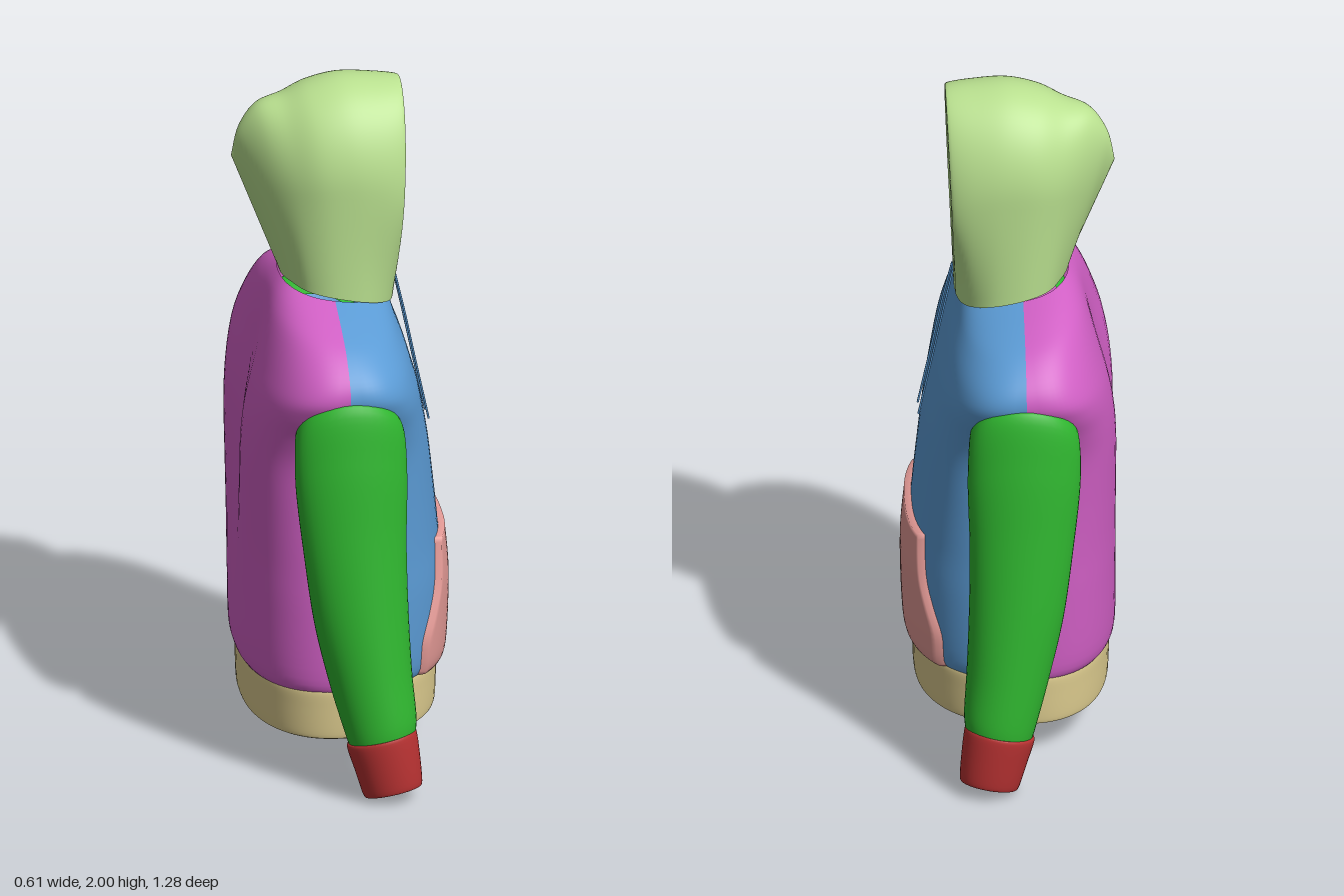
import * as THREE from 'three';
import { mergeVertices } from 'three/addons/utils/BufferGeometryUtils.js';

const COLORS = {
  hood: 0xb9e08f, front: 0x5b9bd5, back: 0xd05fc4, sleeve: 0x2fb52f,
  cuff: 0xb83232, hem: 0xdccb8e, pocket: 0xe49a96,
};

function part(name, geometry, color) {
  const mesh = new THREE.Mesh(geometry, new THREE.MeshStandardMaterial({ color, side: THREE.DoubleSide }));
  mesh.name = name;
  return mesh;
}

// Smooth surface from a rule point(u, v) with u, v in 0..1
function surface(rows, cols, point) {
  const pos = [], index = [];
  for (let i = 0; i <= rows; i++) {
    for (let j = 0; j <= cols; j++) pos.push(...point(i / rows, j / cols));
  }
  for (let i = 0; i < rows; i++) {
    for (let j = 0; j < cols; j++) {
      const a = i * (cols + 1) + j, b = a + cols + 1;
      index.push(a, a + 1, b, a + 1, b + 1, b);
    }
  }
  let g = new THREE.BufferGeometry();
  g.setAttribute('position', new THREE.Float32BufferAttribute(pos, 3));
  g.setIndex(index);
  g = mergeVertices(g, 1e-5);
  g.computeVertexNormals();
  return g;
}

// Catmull-Rom through rows of numbers
function sample(keys, u) {
  const n = keys.length - 1, i = Math.min(Math.floor(u * n), n - 1), t = u * n - i;
  const [p0, p1, p2, p3] = [Math.max(i - 1, 0), i, i + 1, Math.min(i + 2, n)].map(k => keys[k]);
  return p1.map((b, k) => b + 0.5 * t * (p2[k] - p0[k]
    + t * (2 * p0[k] - 5 * b + 4 * p2[k] - p3[k] + t * (3 * (b - p2[k]) + p3[k] - p0[k]))));
}

const SPLIT = -0.04; // side seam plane between front and back panels
const power = (v, p) => Math.sign(v) * Math.abs(v) ** p;

// Body rings: y, back x, front x, half width in z, squareness
const BODY = [
  [0.25, -0.29, 0.263, 0.372, 2.3], [0.3, -0.308, 0.278, 0.385, 2.4], [0.5, -0.312, 0.284, 0.388, 2.5],
  [0.65, -0.314, 0.272, 0.386, 2.6], [0.8, -0.314, 0.255, 0.384, 2.9], [0.95, -0.312, 0.235, 0.39, 3.3],
  [1.05, -0.303, 0.217, 0.42, 3.4], [1.13, -0.288, 0.2, 0.463, 3.3], [1.19, -0.272, 0.183, 0.488, 3],
  [1.25, -0.252, 0.167, 0.465, 2.7], [1.31, -0.226, 0.15, 0.395, 2.5], [1.35, -0.202, 0.14, 0.3, 2.4],
  [1.385, -0.175, 0.13, 0.19, 2.3],
];

// Half of the body; side is +1 for the front panel, -1 for the back
function bodyPanel(side) {
  return surface(60, 48, (u, v) => {
    const [y, xb, xf, hz, n] = sample(BODY, u);
    const a = (v - 0.5) * Math.PI;
    const z = hz * power(Math.sin(a), 2 / n);
    let x = SPLIT + ((side > 0 ? xf : xb) - SPLIT) * Math.max(Math.cos(a), 0) ** (2 / n);
    // soft hollow down the spine
    if (side < 0) x += 0.032 * Math.exp(-((z / 0.1) ** 2)) * Math.sin(Math.PI * u) ** 2;
    // neckline slopes down towards the front
    const tilt = 0.18 * THREE.MathUtils.smoothstep(y, 1.2, 1.385);
    return [x, y - tilt * (x + 0.03), side > 0 ? z : -z];
  });
}

// Front surface of the body at a given height and width
function chestX(y, z) {
  let lo = 0, hi = 1;
  for (let i = 0; i < 24; i++) {
    const mid = (lo + hi) / 2;
    if (sample(BODY, mid)[0] < y) lo = mid; else hi = mid;
  }
  const [, , xf, hz, n] = sample(BODY, lo);
  return SPLIT + (xf - SPLIT) * Math.max(1 - Math.abs(z / hz) ** n, 0) ** (1 / n);
}

// Waistband: outside down, rolled edge, inside up. Rows: y, inset
const HEM = [[0.262, 0.012], [0.255, 0], [0.2, 0], [0.125, 0.003], [0.111, 0.009], [0.122, 0.016], [0.24, 0.018]];
function hemBand() {
  return surface(36, 80, (u, v) => {
    const [y, inset] = sample(HEM, u), a = -v * Math.PI * 2;
    const c = Math.cos(a), depth = c > 0 ? 0.31 : 0.25;
    return [
      SPLIT + (depth - inset) * power(c, 0.87), y,
      (0.377 - inset) * power(Math.sin(a), 0.87),
    ];
  });
}

// Pocket patch following the chest. Rows: y, half width
const POCKET = [[0.26, 0.29], [0.31, 0.298], [0.37, 0.298], [0.44, 0.275], [0.51, 0.25], [0.58, 0.234], [0.65, 0.222]];
function pocketPatch() {
  const R = 24, C = 40, inner = (t, n) => THREE.MathUtils.clamp((t * n - 1) / (n - 2), 0, 1);
  return surface(R, C, (u, v) => {
    const edge = u === 0 || u === 1 || v === 0 || v === 1;
    const [y, hz] = sample(POCKET, inner(u, R));
    const z = hz * (inner(v, C) * 2 - 1);
    return [chestX(y, z) + (edge ? -0.006 : 0.02), y, z];
  });
}

// Tube of slanted rings. Rows: outer z, outer y, inner z, inner y, back x, front x, tilt
// The first sleeve row is tucked inside the shoulder.
const SLEEVE = [
  [0.4, 1.16, 0.28, 0.98, -0.175, 0.11, 0], [0.494, 1.185, 0.365, 0.94, -0.192, 0.122, 0],
  [0.534, 1.02, 0.373, 0.85, -0.194, 0.127, 0],
  [0.562, 0.8, 0.378, 0.68, -0.174, 0.122, 0], [0.59, 0.58, 0.383, 0.48, -0.145, 0.125, 0.05],
  [0.614, 0.38, 0.395, 0.32, -0.103, 0.132, 0.12], [0.63, 0.24, 0.435, 0.21, -0.067, 0.14, 0.18],
  [0.63, 0.185, 0.46, 0.158, -0.05, 0.135, 0.2],
];
const CUFF = [
  [0.628, 0.203, 0.46, 0.172, -0.048, 0.13, 0.2], [0.637, 0.195, 0.453, 0.162, -0.06, 0.139, 0.2],
  [0.638, 0.12, 0.466, 0.09, -0.038, 0.148, 0.2], [0.635, 0.05, 0.482, 0.016, -0.016, 0.153, 0.2],
  [0.628, 0.046, 0.49, 0.014, -0.008, 0.146, 0.2], [0.626, 0.11, 0.478, 0.09, -0.025, 0.137, 0.2],
];
function slantedTube(keys, rows) {
  return surface(rows, 40, (u, v) => {
    const [oz, oy, iz, iy, xb, xf, tilt] = sample(keys, u);
    const a = v * Math.PI * 2, c = Math.cos(a), dx = Math.sin(a) * (xf - xb) / 2;
    return [
      (xb + xf) / 2 + dx,
      (oy + iy) / 2 + c * (oy - iy) / 2 + tilt * dx,
      (oz + iz) / 2 + c * (oz - iz) / 2,
    ];
  });
}

// Hood arches from face opening to back seam. Rows: neck x, y, z, crown x, y, half width
// The first row crosses the centre, so the two sides overlap at the throat.
const HOOD = [
  [0.143, 1.352, -0.035, 0.168, 1.972, 0.16], [0.148, 1.342, 0.05, 0.172, 1.985, 0.182],
  [0.12, 1.352, 0.14, 0.1, 1.995, 0.2], [0.05, 1.375, 0.195, 0, 2, 0.207],
  [-0.04, 1.395, 0.2, -0.09, 1.98, 0.197], [-0.11, 1.405, 0.165, -0.16, 1.948, 0.165],
  [-0.15, 1.412, 0.1, -0.235, 1.92, 0.115], [-0.17, 1.415, 0.045, -0.285, 1.85, 0.06],
  [-0.172, 1.415, 0, -0.305, 1.76, 0],
];
function hoodPoint(u, v) {
  const [nx, ny, nz, cx, cy, w] = sample(HOOD, u);
  const s = v * 2 - 1, f = Math.sin((1 - Math.abs(s)) * Math.PI / 2), mid = 0.55;
  const z = f < mid
    ? nz + (w - nz) * Math.sin(f / mid * Math.PI / 2)
    : w * Math.sqrt(Math.max(1 - ((f - mid) / (1 - mid)) ** 2, 0));
  // the peak at the back leans slightly to one side
  return [nx + (cx - nx) * f, ny + (cy - ny) * f, -Math.sign(s) * z - 0.008 - 0.03 * u * u * f];
}

function tube(points, radius, closed = false) {
  const curve = new THREE.CatmullRomCurve3(points.map(p => new THREE.Vector3(...p)), closed);
  return new THREE.TubeGeometry(curve, closed ? 120 : 30, radius, 8, closed);
}

export function createModel() {
  const model = new THREE.Group();
  model.name = 'hoodedSweatshirt';
  model.add(
    part('frontPanel', bodyPanel(1), COLORS.front),
    part('backPanel', bodyPanel(-1), COLORS.back),
    part('waistband', hemBand(), COLORS.hem),
    part('pocket', pocketPatch(), COLORS.pocket),
  );

  // Hood with a rolled edge around the face opening
  const rim = Array.from({ length: 41 }, (_, i) => hoodPoint(0, i / 40));
  model.add(
    part('hood', surface(48, 64, hoodPoint), COLORS.hood),
    part('hoodRim', tube(rim, 0.009, true), COLORS.hood),
  );

  // Sleeves, cuffs and drawstrings, mirrored across z
  for (const side of [1, -1]) {
    const arm = new THREE.Group();
    arm.name = side > 0 ? 'sleeveNear' : 'sleeveFar';
    arm.scale.z = side;
    arm.add(
      part('sleeve', slantedTube(SLEEVE, 56), COLORS.sleeve),
      part('cuff', slantedTube(CUFF, 30), COLORS.cuff),
    );
    const z = side * 0.033;
    const cord = tube([[0.155, 1.4, z * 0.7], [0.182, 1.28, z], [0.215, 1.12, z], [0.253, 0.94, z]], 0.003);
    model.add(arm, part('drawstring', cord, COLORS.front));
  }
  return model;
}
